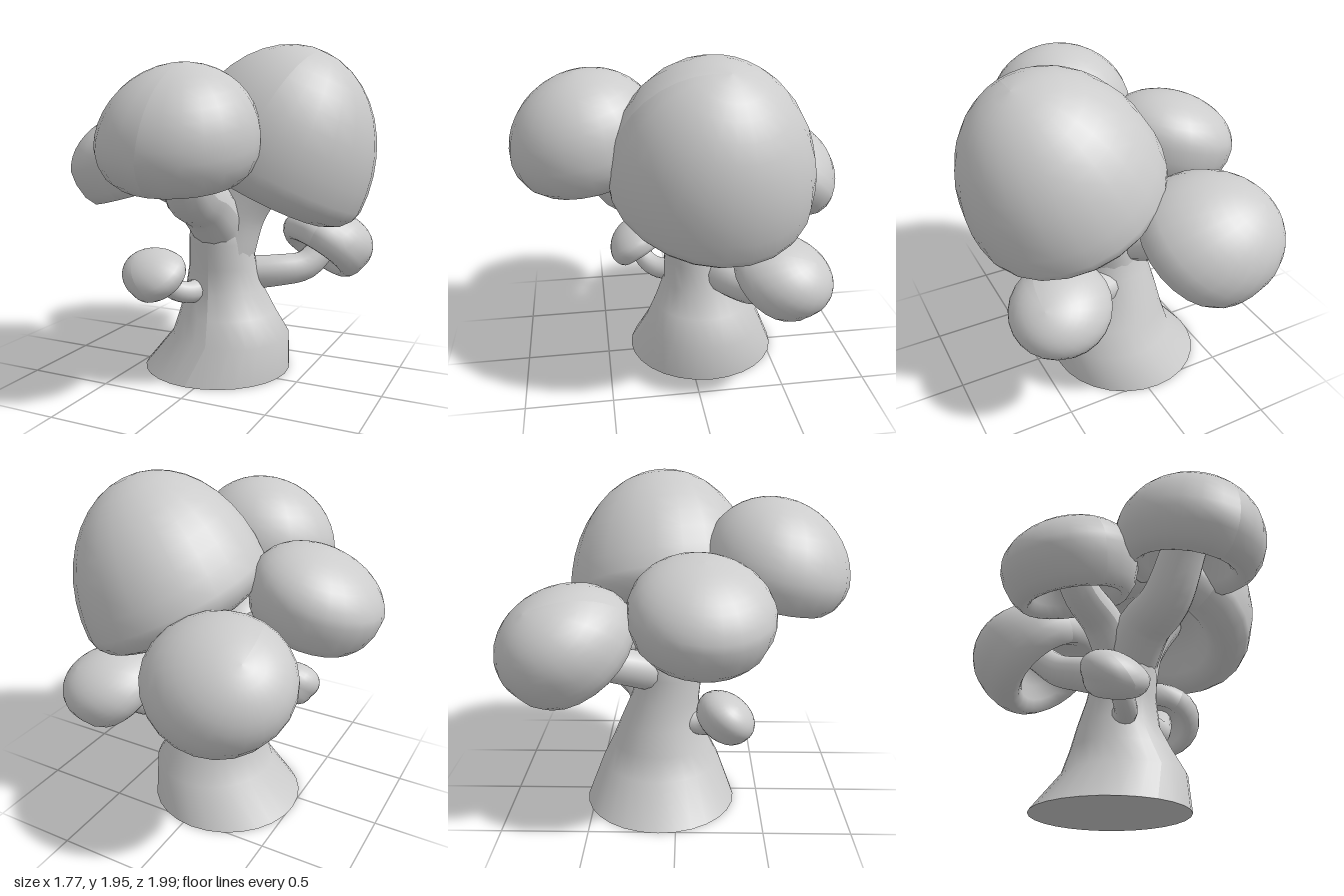
import * as THREE from 'three';

const V = (a) => new THREE.Vector3(...a);
const material = new THREE.MeshStandardMaterial({ color: 0xcccccc, side: THREE.DoubleSide });

function addMesh(parent, name, geometry) {
  const mesh = new THREE.Mesh(geometry, material);
  mesh.name = name;
  parent.add(mesh);
  return mesh;
}

// Flared trunk: a lathe whose rings drift sideways as they rise
function trunkGeometry() {
  // y, radius, centre x, centre z
  const rings = [[0, 0.45, -0.06, -0.1], [0.22, 0.36, 0.03, -0.1], [0.36, 0.295, 0.01, -0.1], [0.5, 0.24, -0.01, -0.1],
    [0.65, 0.205, -0.01, -0.07], [0.8, 0.19, -0.01, -0.04], [0.95, 0.18, -0.01, -0.03], [1.05, 0.1, 0, -0.03]];
  const points = rings.map(([y, r]) => new THREE.Vector2(r, y));
  points.push(new THREE.Vector2(0, 1.08));
  const geometry = new THREE.LatheGeometry(points, 28);
  const pos = geometry.attributes.position;
  for (let i = 0; i < pos.count; i++) {
    const ring = rings[Math.min(i % points.length, rings.length - 1)];
    pos.setX(i, pos.getX(i) + ring[2]);
    pos.setZ(i, pos.getZ(i) + ring[3]);
  }
  geometry.computeVertexNormals();
  return geometry;
}

// Mushroom cap: a dome leaning from its widest ring to the apex,
// with the edge tucked in below to a thick lip around a hollow underside
function capGeometry({ centre, axis, apex, radius, tuck }) {
  const under = [[0, 0.1], [0.25, 0.06], [0.45, -0.2], [0.58, -0.75], [0.68, -0.98], [0.78, -1], [0.9, -0.75], [0.98, -0.35]];
  const points = under.map(([r, y]) => new THREE.Vector2(r, y));
  const steps = 10;
  for (let i = 0; i <= steps; i++) {
    const t = (i / steps) * Math.PI / 2;
    points.push(new THREE.Vector2(i === steps ? 0 : Math.cos(t), Math.sin(t)));
  }
  const geometry = new THREE.LatheGeometry(points, 24);
  const normal = V(axis).normalize();
  const tilt = new THREE.Quaternion().setFromUnitVectors(new THREE.Vector3(0, 1, 0), normal);
  const rise = V(apex).sub(V(centre));
  const pos = geometry.attributes.position;
  for (let i = 0; i < pos.count; i++) {
    const y = pos.getY(i);
    const p = new THREE.Vector3(pos.getX(i) * radius, 0, pos.getZ(i) * radius).applyQuaternion(tilt).add(V(centre));
    if (y > 0) p.addScaledVector(rise, y);
    else p.addScaledVector(normal, y * tuck);
    pos.setXYZ(i, p.x, p.y, p.z);
  }
  geometry.computeVertexNormals();
  return geometry;
}

// Curved stem, slightly thicker where it leaves the trunk
function stemGeometry(path, radius) {
  const curve = new THREE.CatmullRomCurve3(path.map(V));
  const steps = 14, sides = 14;
  const geometry = new THREE.TubeGeometry(curve, steps, radius, sides);
  const pos = geometry.attributes.position;
  const p = new THREE.Vector3();
  for (let i = 0; i < pos.count; i++) {
    const t = Math.floor(i / (sides + 1)) / steps;
    const centre = curve.getPointAt(t);
    p.fromBufferAttribute(pos, i).sub(centre).multiplyScalar(1.2 - 0.3 * t).add(centre);
    pos.setXYZ(i, p.x, p.y, p.z);
  }
  geometry.computeVertexNormals();
  return geometry;
}

// Each mushroom: centre of the widest ring, ring axis, top of the dome, sizes and stem path
const mushrooms = [
  { name: 'largeMushroom', centre: [0.3, 1.25, -0.09], axis: [0.42, 0.88, -0.12], apex: [0.6, 1.9, -0.13],
    radius: 0.57, tuck: 0.15,
    stem: [[0, 0.75, -0.06], [0.08, 0.98, -0.08], [0.2, 1.16, -0.1], [0.32, 1.3, -0.11]], stemRadius: 0.16 },
  { name: 'frontMushroom', centre: [0.03, 1.42, 0.57], axis: [0.05, 0.97, 0.2], apex: [0.08, 1.82, 0.62],
    radius: 0.43, tuck: 0.19,
    stem: [[0, 0.9, 0], [-0.01, 1.05, 0.18], [0, 1.13, 0.37], [0.02, 1.42, 0.55]], stemRadius: 0.14 },
  { name: 'rightMushroom', centre: [-0.5, 1.31, 0.14], axis: [-0.25, 0.96, 0.08], apex: [-0.53, 1.58, 0.15],
    radius: 0.39, tuck: 0.22,
    stem: [[-0.04, 0.88, -0.04], [-0.2, 1.08, 0.02], [-0.38, 1.18, 0.09], [-0.5, 1.32, 0.14]], stemRadius: 0.11 },
  { name: 'backMushroom', centre: [-0.27, 1.05, -0.6], axis: [-0.4, 0.78, -0.48], apex: [-0.51, 1.3, -0.79],
    radius: 0.4, tuck: 0.15,
    stem: [[-0.04, 0.8, -0.08], [-0.14, 0.87, -0.27], [-0.22, 0.94, -0.45], [-0.3, 1.08, -0.62]], stemRadius: 0.1 },
  { name: 'leftSmallMushroom', centre: [0.51, 0.75, -0.44], axis: [0.4, 0.78, -0.48], apex: [0.665, 0.89, -0.595],
    radius: 0.28, tuck: 0.1,
    stem: [[0.08, 0.58, -0.17], [0.28, 0.6, -0.24], [0.43, 0.63, -0.34], [0.54, 0.78, -0.46]], stemRadius: 0.09 },
  { name: 'rightSmallMushroom', centre: [-0.27, 0.625, 0.285], axis: [-0.3, 0.8, 0.5], apex: [-0.39, 0.735, 0.345],
    radius: 0.18, tuck: 0.08,
    stem: [[-0.08, 0.52, 0.03], [-0.13, 0.51, 0.16], [-0.19, 0.54, 0.23], [-0.28, 0.64, 0.29]], stemRadius: 0.06 },
];

export function createModel() {
  const model = new THREE.Group();
  model.name = 'mushroomCluster';

  addMesh(model, 'trunk', trunkGeometry());
  const base = addMesh(model, 'trunkBase', new THREE.CircleGeometry(0.45, 28));
  base.rotation.x = Math.PI / 2;
  base.position.set(-0.06, 0, -0.1);

  for (const m of mushrooms) {
    const group = new THREE.Group();
    group.name = m.name;
    addMesh(group, 'stem', stemGeometry(m.stem, m.stemRadius));
    addMesh(group, 'cap', capGeometry(m));
    model.add(group);
  }
  return model;
}
